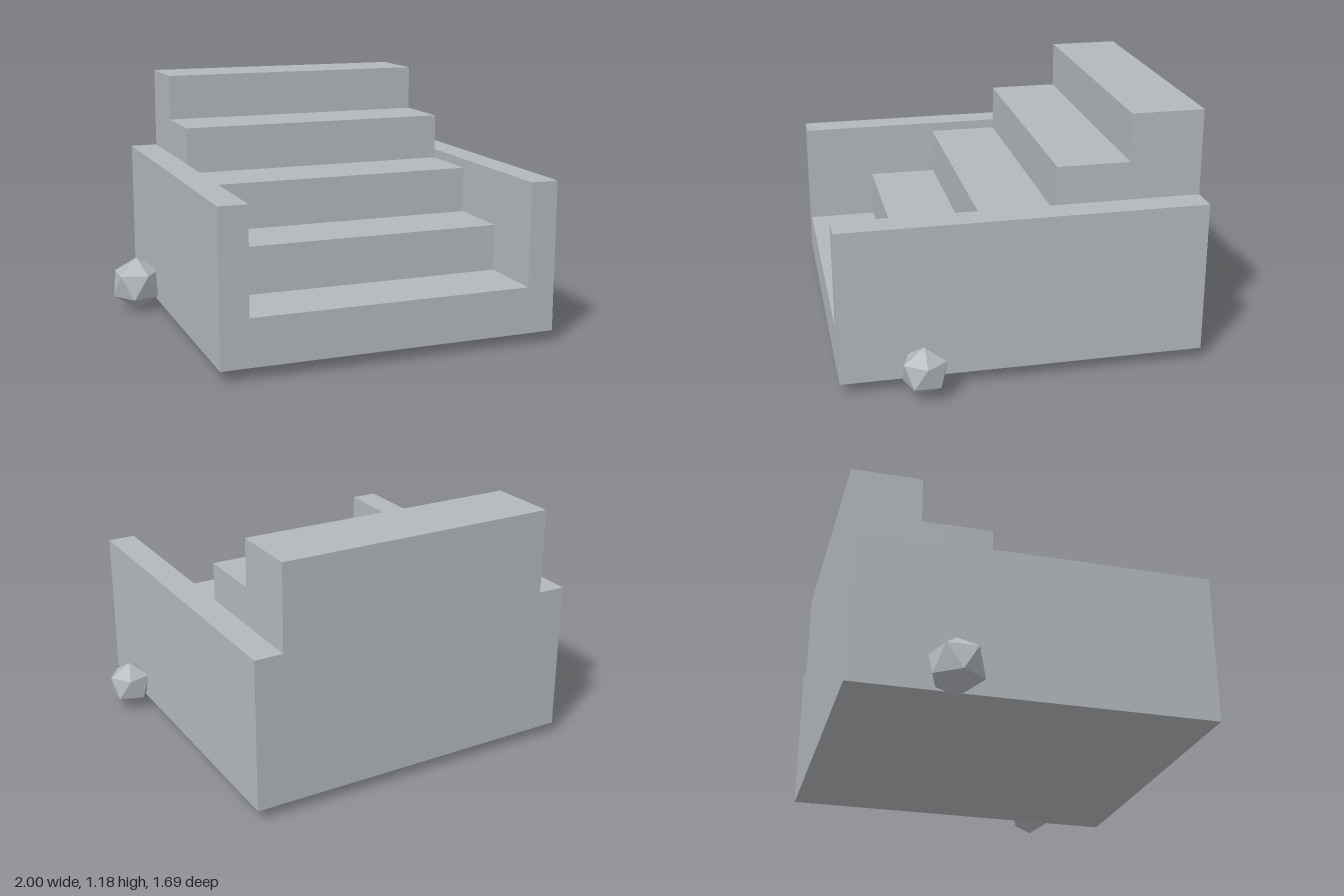
import * as THREE from 'three';

const stone = new THREE.MeshStandardMaterial({ color: 0xb4b8bc });
stone.name = 'lightStoneGrey';

const BOTTOM = 0.057, HALF_DEPTH = 0.843;
const STEPS = 5, RISE = 0.225, RUN = 2 * HALF_DEPTH / STEPS, FIRST_TOP = 0.28;
const INNER_LEFT = 0.695, INNER_RIGHT = -0.655, WALL = 0.135, WALL_TOP = 0.775;

function addMesh(group, name, geometry, x, y, z) {
  const mesh = new THREE.Mesh(geometry, stone);
  mesh.name = name;
  mesh.position.set(x, y, z);
  group.add(mesh);
}

// Stair profile from front to back, extruded across the width
function stairGeometry() {
  const shape = new THREE.Shape();
  shape.moveTo(-HALF_DEPTH, BOTTOM);
  for (let i = 0; i < STEPS; i++) {
    const front = -HALF_DEPTH + i * RUN, top = FIRST_TOP + i * RISE;
    shape.lineTo(front, top);
    shape.lineTo(front + RUN, top);
  }
  shape.lineTo(HALF_DEPTH, BOTTOM);
  shape.closePath();
  const width = INNER_LEFT - INNER_RIGHT;
  return new THREE.ExtrudeGeometry(shape, { depth: width, bevelEnabled: false }).rotateY(Math.PI / 2);
}

// Twenty-sided, flat-faced rock standing on one corner
function rockGeometry(radius) {
  return new THREE.IcosahedronGeometry(radius, 0)
    .rotateX(-Math.atan((1 + Math.sqrt(5)) / 2))
    .rotateY(Math.PI / 2);
}

export function createModel() {
  const model = new THREE.Group();
  model.name = 'stairs';

  addMesh(model, 'steps', stairGeometry(), INNER_RIGHT, 0, 0);

  // Low walls on both sides
  const wall = new THREE.BoxGeometry(WALL, WALL_TOP - BOTTOM, 2 * HALF_DEPTH);
  const wallY = (WALL_TOP + BOTTOM) / 2;
  addMesh(model, 'leftWall', wall, INNER_LEFT + WALL / 2, wallY, 0);
  addMesh(model, 'rightWall', wall, INNER_RIGHT - WALL / 2, wallY, 0);

  // Rocks lying against the walls
  addMesh(model, 'leftRock', rockGeometry(0.112), 0.9, 0.125, 0.473);
  addMesh(model, 'rightRock', rockGeometry(0.134), -0.88, 0.136, -0.385);

  return model;
}
